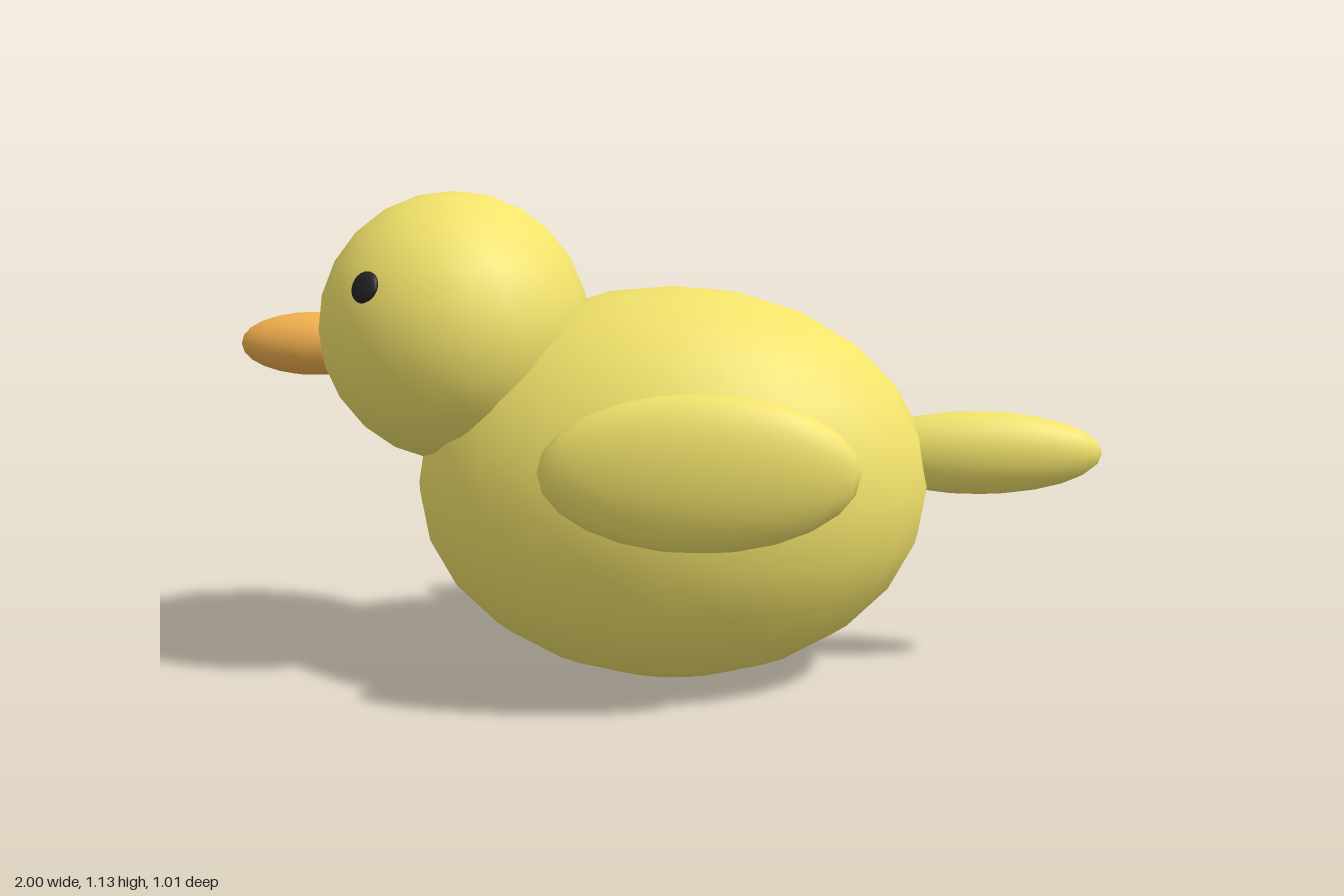
import * as THREE from 'three';

export function createModel() {
  const duck = new THREE.Group();
  duck.name = 'duck';
  const yellow = new THREE.MeshStandardMaterial({ color: 0xf2e36b });
  const orange = new THREE.MeshStandardMaterial({ color: 0xf2b04e });
  const black = new THREE.MeshStandardMaterial({ color: 0x222226 });
  const ball = new THREE.SphereGeometry(1, 24, 12);

  // Every part is a sphere stretched to three radii
  const ellipsoid = (name, material, radii, position) => {
    const mesh = new THREE.Mesh(ball, material);
    mesh.name = name;
    mesh.scale.set(...radii);
    mesh.position.set(...position);
    duck.add(mesh);
    return mesh;
  };

  const headCentre = new THREE.Vector3(-0.5, 0.823, 0);
  const headRadius = 0.31;
  ellipsoid('body', yellow, [0.595, 0.458, 0.41], [0, 0.46, 0]);
  ellipsoid('head', yellow, [headRadius, headRadius, 0.314], headCentre.toArray());
  ellipsoid('beak', orange, [0.17, 0.073, 0.073], [-0.83, 0.783, 0]);
  ellipsoid('tail', yellow, [0.29, 0.097, 0.072], [0.705, 0.533, 0]);

  // Mirrored wings and eyes
  for (const [side, s] of [['right', 1], ['left', -1]]) {
    ellipsoid(side + 'Wing', yellow, [0.335, 0.168, 0.077], [0.065, 0.568, s * 0.43]);

    // Flattened eye lying on the head surface
    const outward = new THREE.Vector3(-0.155, 0.112, s * 0.245).normalize();
    const centre = headCentre.clone().addScaledVector(outward, headRadius);
    const eye = ellipsoid(side + 'Eye', black, [0.036, 0.036, 0.013], centre.toArray());
    eye.quaternion.setFromUnitVectors(new THREE.Vector3(0, 0, s), outward);
  }
  return duck;
}
